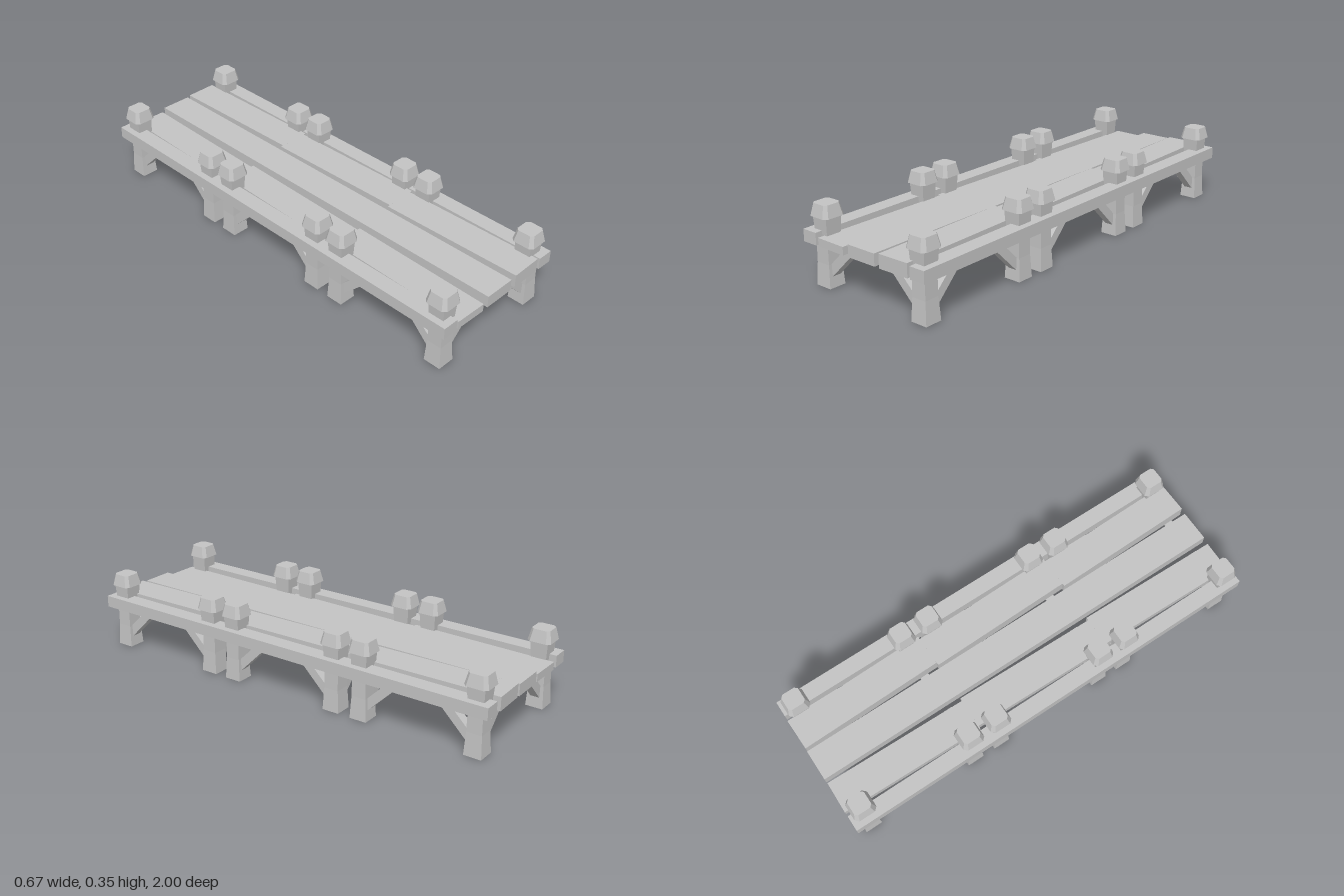
import * as THREE from 'three';

const grey = new THREE.MeshStandardMaterial({ color: 0xc4c4c4 });
grey.name = 'plain grey';

const BOTTOM = 0.188; // underside of the deck
const POST_X = 0.267;

function add(parent, name, geometry) {
  const mesh = new THREE.Mesh(geometry, grey);
  mesh.name = name;
  parent.add(mesh);
  return mesh;
}

// Flat-faced copy of a geometry after its vertices were moved
function faceted(geometry) {
  const g = geometry.index ? geometry.toNonIndexed() : geometry;
  g.computeVertexNormals();
  return g;
}

// Square post with a narrow waist
function postGeometry() {
  const levels = [[0, 0.0393], [0.1, 0.034], [0.19, 0.033], [0.297, 0.0393]];
  const g = new THREE.BoxGeometry(2, 3, 2, 1, 3, 1);
  const p = g.attributes.position;
  for (let i = 0; i < p.count; i++) {
    const [y, half] = levels[Math.round(p.getY(i) + 1.5)];
    p.setXYZ(i, p.getX(i) * half, y, p.getZ(i) * half);
  }
  return faceted(g);
}

// Tapered cap with cut corners
function capGeometry() {
  const a = 0.0525, b = 0.037, height = 0.053;
  const outline = [[a, -b], [a, b], [b, a], [-b, a], [-a, b], [-a, -b], [-b, -a], [b, -a]];
  const shape = new THREE.Shape(outline.map(([x, y]) => new THREE.Vector2(x, y)));
  const g = new THREE.ExtrudeGeometry(shape, { depth: height, bevelEnabled: false });
  g.rotateX(-Math.PI / 2);
  const p = g.attributes.position;
  for (let i = 0; i < p.count; i++) {
    const s = p.getY(i) > height / 2 ? 0.77 : 1;
    p.setXYZ(i, p.getX(i) * s, p.getY(i) + 0.297, p.getZ(i) * s);
  }
  return faceted(g);
}

// Diagonal brace running out along +x from the post centre
function braceGeometry() {
  const shape = new THREE.Shape([
    new THREE.Vector2(0.03, 0.042), new THREE.Vector2(0.178, BOTTOM),
    new THREE.Vector2(0.122, BOTTOM), new THREE.Vector2(0.03, 0.098),
  ]);
  const g = new THREE.ExtrudeGeometry(shape, { depth: 0.04, bevelEnabled: false });
  return g.translate(0, 0, -0.02);
}

export function createModel() {
  const model = new THREE.Group();
  model.name = 'dock';
  const post = postGeometry(), cap = capGeometry(), brace = braceGeometry();

  // Full-length middle plank and side rails
  add(model, 'middlePlank', new THREE.BoxGeometry(0.145, 0.053, 2)).position.set(0, BOTTOM + 0.0265, 0);
  for (const side of [-1, 1]) {
    add(model, 'sideRail', new THREE.BoxGeometry(0.073, 0.053, 2)).position.set(side * 0.2965, BOTTOM + 0.0265, 0);
  }

  // Three equal bays
  for (const bayZ of [-2 / 3, 0, 2 / 3]) {
    const bay = new THREE.Group();
    bay.name = 'bay';
    bay.position.z = bayZ;
    model.add(bay);

    // Slightly skewed side planks of different thickness
    for (const [name, x, thick] of [['rightPlank', -0.168, 0.035], ['leftPlank', 0.1655, 0.06]]) {
      const plank = add(bay, name, new THREE.BoxGeometry(0.147, thick, 0.6665));
      plank.position.set(x, BOTTOM + thick / 2, 0);
      plank.rotation.y = Math.sign(x) * 0.02;
    }

    // Corner posts with caps and two braces each
    for (const sx of [-1, 1]) {
      for (const sz of [-1, 1]) {
        const support = new THREE.Group();
        support.name = 'support';
        support.position.set(sx * POST_X, 0, sz * 0.265);
        bay.add(support);
        add(support, 'post', post);
        add(support, 'cap', cap);
        add(support, 'crossBrace', brace).rotation.y = sx > 0 ? Math.PI : 0;
        add(support, 'lengthBrace', brace).rotation.y = sz * Math.PI / 2;
      }
    }
  }
  return model;
}
